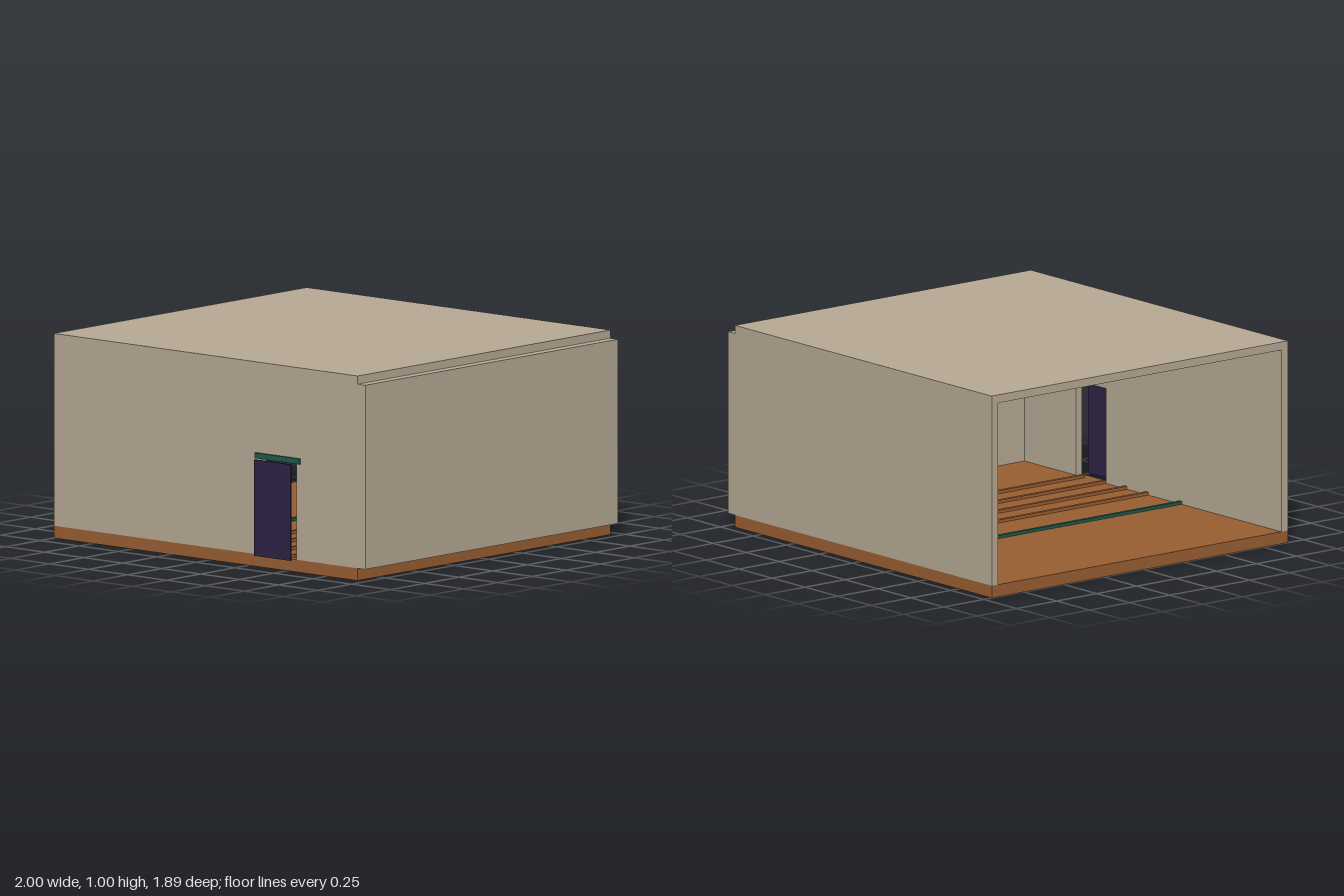
import * as THREE from 'three';

const material = (name, color) => {
  const m = new THREE.MeshStandardMaterial({ color });
  m.name = name;
  return m;
};

export function createModel() {
  const room = new THREE.Group();
  room.name = 'room';
  const plaster = material('beige plaster', 0xb6a994);
  const wood = material('brown wood', 0x985e32);
  const green = material('dark green trim', 0x1d5a4b);
  const purple = material('dark purple door', 0x2e2345);

  // Box given by its lower and upper bounds on each axis
  const box = (name, mat, [x0, x1], [y0, y1], [z0, z1]) => {
    const mesh = new THREE.Mesh(new THREE.BoxGeometry(x1 - x0, y1 - y0, z1 - z0), mat);
    mesh.position.set((x0 + x1) / 2, (y0 + y1) / 2, (z0 + z1) / 2);
    mesh.name = name;
    room.add(mesh);
    return mesh;
  };

  const base = 0.06, ceiling = 0.96, back = -0.95, front = 0.9, wall = 0.04;

  // Shell, left open on the -x end
  box('floor', wood, [-1, 0.95], [0, base], [back, front]);
  box('roof', plaster, [-1, 0.95], [ceiling, 1], [back, front]);
  box('backWall', plaster, [-1, 0.95], [base, ceiling], [back, back + wall]);
  box('endWall', plaster, [0.95, 1], [base, ceiling], [back, front]);

  // Front wall with the doorway notched out of its lower edge
  const outline = new THREE.Shape([
    [-1, base], [0.33, base], [0.33, 0.53], [0.56, 0.53],
    [0.56, base], [0.95, base], [0.95, ceiling], [-1, ceiling],
  ].map(([x, y]) => new THREE.Vector2(x, y)));
  const frontWall = new THREE.Mesh(
    new THREE.ExtrudeGeometry(outline, { depth: wall, bevelEnabled: false }), plaster);
  frontWall.position.z = front - wall;
  frontWall.name = 'frontWall';
  room.add(frontWall);

  // Sliding door hung clear of the wall, with its rail above
  box('door', purple, [0.325, 0.558], [base, 0.53], [0.935, 0.945]);
  box('doorRail', green, [0.3, 0.585], [0.53, 0.557], [front, 0.911]);

  // Low strips crossing the floor
  const inside = [back + wall, front - wall];
  box('greenFloorStrip', green, [-0.245, -0.225], [base, base + 0.015], inside);
  for (const x of [0.01, 0.17, 0.33, 0.49]) {
    box('floorBatten', wood, [x, x + 0.02], [base, base + 0.015], inside);
  }

  return room;
}
